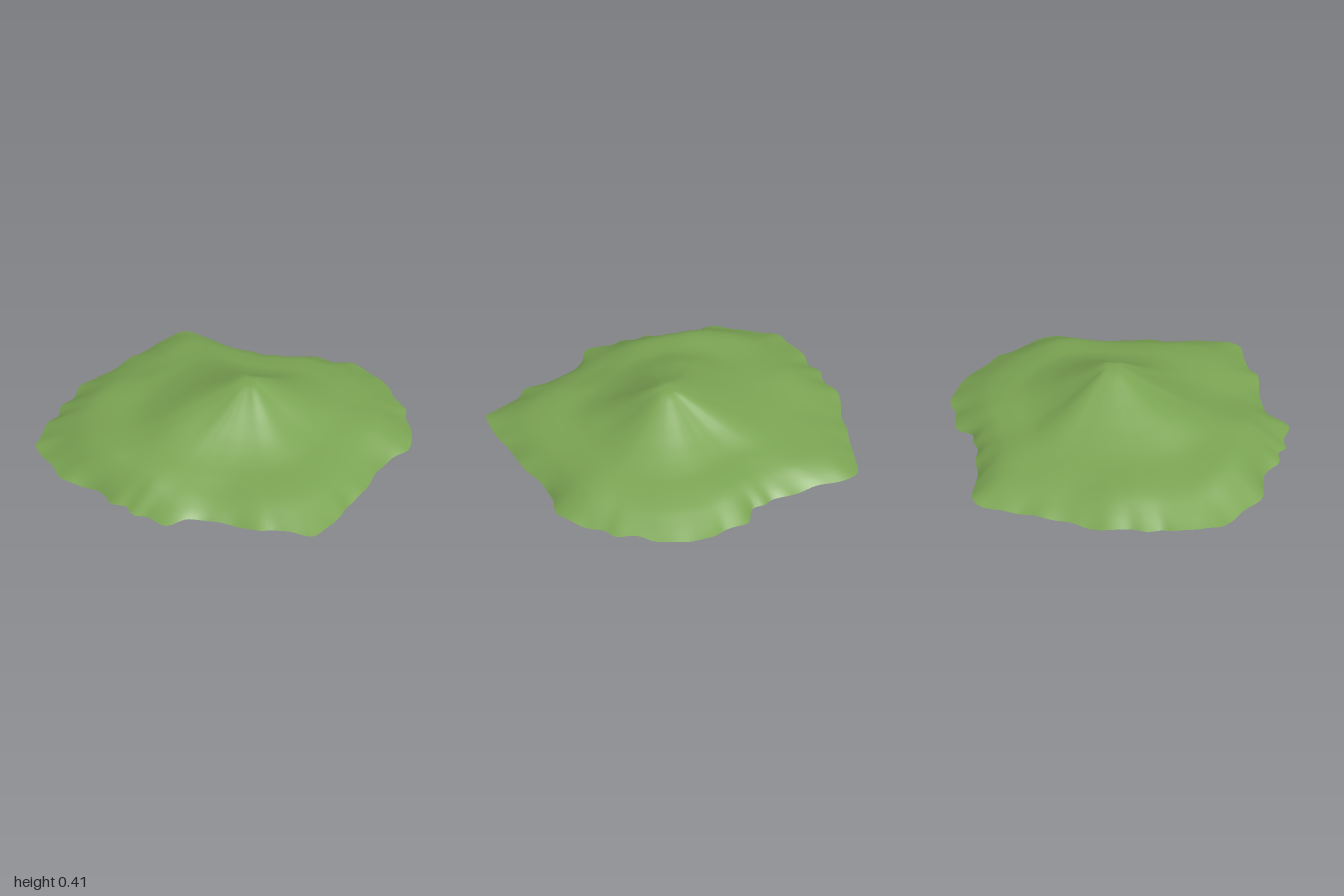
import * as THREE from 'three';

// Ragged outline of the hill seen from above, as x, z pairs
const OUTLINE = [
  -0.74, -0.82, -0.44, -0.81, -0.3, -0.83, -0.19, -0.82, -0.13, -0.85, -0.05, -0.855, 0.03, -0.96,
  0.18, -0.965, 0.26, -1, 0.36, -0.99, 0.58, -0.9, 0.68, -0.8, 0.79, -0.74, 0.82, -0.67, 0.9, -0.59,
  0.96, -0.5, 1, -0.38, 0.96, -0.26, 0.95, -0.1, 0.98, 0.1, 0.97, 0.3, 0.985, 0.42, 0.96, 0.64,
  0.94, 0.67, 0.8, 0.7, 0.69, 0.74, 0.65, 0.78, 0.4, 0.81, 0.23, 0.87, 0.13, 0.99, -0.01, 0.965,
  -0.1, 0.98, -0.16, 0.94, -0.25, 0.95, -0.32, 0.9, -0.4, 0.865, -0.54, 0.87, -0.63, 0.865,
  -0.75, 0.77, -0.87, 0.69, -0.935, 0.63, -0.945, 0.57, -0.985, 0.37, -0.97, 0.29, -1, 0.2,
  -0.975, 0.1, -1, -0.04, -0.96, -0.17, -0.92, -0.25, -0.89, -0.4, -0.86, -0.48, -0.82, -0.63,
];

// Slope from the summit (0) to the rim (1): distance, height
const SLOPE = [
  [0, 0.406], [0.06, 0.401], [0.14, 0.363], [0.27, 0.292], [0.4, 0.226], [0.55, 0.168],
  [0.7, 0.134], [0.82, 0.1], [0.92, 0.053], [1, 0.008],
];

// Spurs and hollows: x, z, radius, height
const BUMPS = [
  [-0.14, 0.38, 0.2, 0.045], // ridge leading to the front
  [-0.12, 0.74, 0.18, 0.042], // front spur
  [-0.4, 0.73, 0.19, 0.052], // steep front brow
  [-0.62, 0.6, 0.18, 0.026], // front right shoulder
  [-0.78, 0.1, 0.2, 0.025], // right shoulder
  [-0.7, -0.7, 0.13, 0.015], // back right shoulder
  [0, -0.8, 0.18, 0.02], // back brow
  [0.82, -0.38, 0.18, 0.026], // back left shoulder
  [0.45, 0.28, 0.22, -0.03], // broad hollow on the left
  [0.3, 0.65, 0.15, -0.022], // front hollow
  [0.34, 0.06, 0.14, -0.012], // steep left side below the summit
  [-0.52, -0.5, 0.17, -0.014], // back hollow
  [-0.72, -0.24, 0.13, -0.012], // right hollow
];

const RAYS = 240;
const RINGS = 60;
const PEAK = new THREE.Vector3(0.12, 0, -0.05);

function slopeHeight(t) {
  let i = 0;
  while (i < SLOPE.length - 2 && t > SLOPE[i + 1][0]) i++;
  const [x0, y0] = SLOPE[i];
  const [x1, y1] = SLOPE[i + 1];
  const tangent = (k) => {
    if (k === 0) return 0;
    const a = SLOPE[k - 1];
    const b = SLOPE[Math.min(k + 1, SLOPE.length - 1)];
    return (b[1] - a[1]) / (b[0] - a[0]);
  };
  const w = x1 - x0;
  const u = (t - x0) / w;
  const u2 = u * u;
  const u3 = u2 * u;
  return (2 * u3 - 3 * u2 + 1) * y0 + (u3 - 2 * u2 + u) * w * tangent(i)
    + (3 * u2 - 2 * u3) * y1 + (u3 - u2) * w * tangent(i + 1);
}

function height(x, z, t) {
  const fade = (1 - t ** 12) * (1 - Math.exp(-((t / 0.15) ** 2)));
  const bumps = BUMPS.reduce((sum, [bx, bz, r, h]) =>
    sum + h * Math.exp(-((x - bx) ** 2 + (z - bz) ** 2) / (r * r)), 0);
  return slopeHeight(t) + bumps * fade;
}

function hillGeometry() {
  const corners = [];
  for (let i = 0; i < OUTLINE.length; i += 2) corners.push(new THREE.Vector3(OUTLINE[i], 0, OUTLINE[i + 1]));
  const rim = new THREE.CatmullRomCurve3(corners, true).getSpacedPoints(RAYS).slice(0, RAYS);

  // Softened outline for the inner rings, so the ragged rim does not crease the slopes
  const soft = rim.map((_, i) => {
    const p = new THREE.Vector3();
    for (let k = -10; k <= 10; k++) p.add(rim[(i + k + RAYS) % RAYS]);
    return p.divideScalar(21);
  });

  const positions = [PEAK.x, SLOPE[0][1], PEAK.z];
  const index = [];
  for (let r = 1; r <= RINGS; r++) {
    const t = r / RINGS;
    for (let i = 0; i < RAYS; i++) {
      const edge = soft[i].clone().lerp(rim[i], t ** 10);
      const p = PEAK.clone().lerp(edge, t);
      const ripple = 0.004 * t ** 16 * (Math.sin(i * 0.37) + Math.sin(i * 0.81 + 1));
      positions.push(p.x, Math.max(0, height(p.x, p.z, t) + ripple), p.z);

      const j = (i + 1) % RAYS;
      const outer = 1 + (r - 1) * RAYS;
      const inner = outer - RAYS;
      if (r === 1) index.push(0, outer + j, outer + i);
      else index.push(inner + i, inner + j, outer + j, inner + i, outer + j, outer + i);
    }
  }
  const geometry = new THREE.BufferGeometry();
  geometry.setAttribute('position', new THREE.Float32BufferAttribute(positions, 3));
  geometry.setIndex(index);
  geometry.computeVertexNormals();
  return geometry;
}

export function createModel() {
  const grass = new THREE.MeshStandardMaterial({ color: 0x7ba453, side: THREE.DoubleSide });
  grass.name = 'grass green';

  // Open shell of the hill, without a floor
  const hill = new THREE.Mesh(hillGeometry(), grass);
  hill.name = 'hill';

  const group = new THREE.Group();
  group.name = 'grassyHill';
  group.add(hill);
  return group;
}
